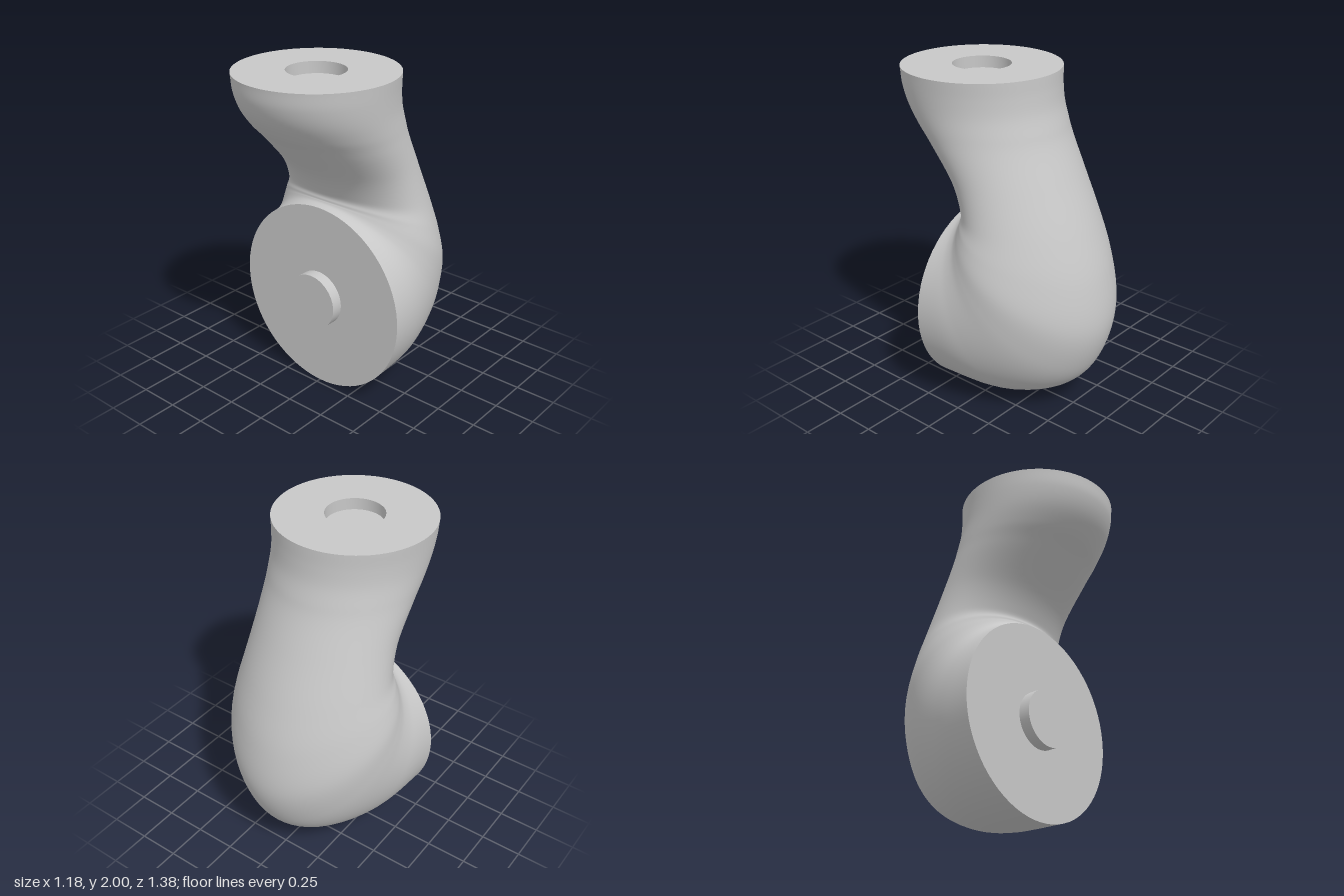
import * as THREE from 'three';
import { toCreasedNormals } from 'three/addons/utils/BufferGeometryUtils.js';

// Stations along the bend: inner z, inner y, outer z, outer y, half-width,
// egg (how far the section widens towards the inner side)
const STATIONS = [
  [0.22, 1.18, 0.22, 0.0, 0.59, 0],
  [0.21, 1.183, -0.1, 0.01, 0.58, 0.03],
  [0.2, 1.186, -0.31, 0.06, 0.565, 0.07],
  [0.19, 1.19, -0.5, 0.17, 0.55, 0.12],
  [0.182, 1.195, -0.62, 0.33, 0.54, 0.16],
  [0.176, 1.203, -0.685, 0.57, 0.528, 0.18],
  [0.172, 1.215, -0.645, 0.85, 0.5, 0.18],
  [0.175, 1.26, -0.55, 1.12, 0.465, 0.14],
  [0.26, 1.4, -0.425, 1.4, 0.442, 0.09],
  [0.45, 1.6, -0.335, 1.6, 0.445, 0.05],
  [0.555, 1.7, -0.3, 1.7, 0.45, 0.03],
  [0.635, 1.8, -0.27, 1.8, 0.455, 0.02],
  [0.678, 1.9, -0.256, 1.9, 0.462, 0.01],
  [0.69, 2.0, -0.25, 2.0, 0.47, 0],
];

// Egg-shaped rings lofted between the round flange and the round collar
function elbowGeometry(rows = 104, sides = 72) {
  const spline = (f) => new THREE.CatmullRomCurve3(
    STATIONS.map(f), false, 'catmullrom', 0.5);
  const inner = spline((s) => new THREE.Vector3(s[4], s[1], s[0]));
  const outer = spline((s) => new THREE.Vector3(s[5], s[3], s[2]));
  const positions = [], index = [];
  for (let i = 0; i <= rows; i++) {
    // The x slots carry the half-width and the egg factor
    const a = inner.getPoint(i / rows), b = outer.getPoint(i / rows);
    for (let j = 0; j < sides; j++) {
      const t = (j / sides) * Math.PI * 2, s = Math.sin(t), k = (1 + s) / 2;
      positions.push(
        a.x * Math.cos(t) * (1 + b.x * s),
        b.y + (a.y - b.y) * k,
        b.z + (a.z - b.z) * k);
      if (i < rows) {
        const p = i * sides + j, q = i * sides + (j + 1) % sides;
        index.push(p, p + sides, q, q, p + sides, q + sides);
      }
    }
  }
  const g = new THREE.BufferGeometry();
  g.setAttribute('position', new THREE.Float32BufferAttribute(positions, 3));
  g.setIndex(index);
  g.computeVertexNormals();
  return g;
}

export function createModel() {
  const group = new THREE.Group();
  const grey = new THREE.MeshStandardMaterial({ color: 0xc7c7c7 });
  grey.name = 'lightGrey';
  const add = (name, geometry, x, y, z) => {
    const mesh = new THREE.Mesh(geometry, grey);
    mesh.name = name;
    mesh.position.set(x, y, z);
    group.add(mesh);
    return mesh;
  };

  add('elbowBody', elbowGeometry(), 0, 0, 0);

  // Flat mounting face with its round locating boss
  add('frontFlange', new THREE.CircleGeometry(0.59, 72), 0, 0.59, 0.22);
  add('frontBoss', new THREE.CylinderGeometry(0.172, 0.172, 0.07, 48), 0, 0.59, 0.255)
    .rotation.x = Math.PI / 2;

  // Top face with a shallow blind socket
  const profile = [[0.47, 0], [0.172, 0], [0.172, -0.07], [0, -0.07]]
    .map(([r, y]) => new THREE.Vector2(r, y));
  add('topSocket', toCreasedNormals(new THREE.LatheGeometry(profile, 72), 0.6), 0, 2, 0.22);

  return group;
}
